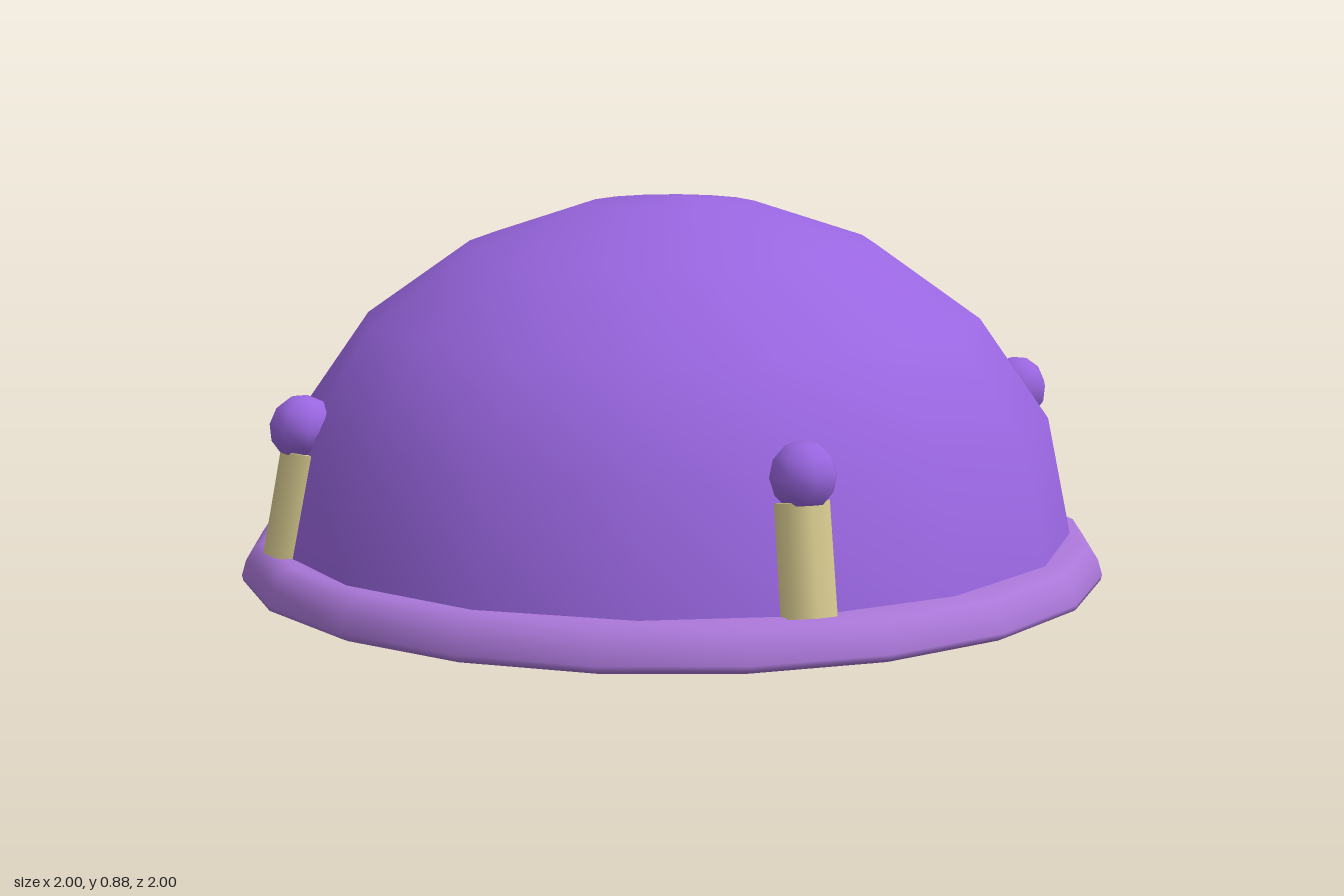
import * as THREE from 'three';

const material = (name, color) => {
  const m = new THREE.MeshStandardMaterial({ color });
  m.name = name;
  return m;
};

const lathe = (points, sides) =>
  new THREE.LatheGeometry(points.map(([r, y]) => new THREE.Vector2(r, y)), sides);

export function createModel() {
  const purple = material('dome purple', 0x9966e0);
  const lilac = material('rim lilac', 0xaa77d8);
  const tan = material('post tan', 0xd8cb90);
  const grey = material('underside grey', 0x786b8a);

  const model = new THREE.Group();
  model.name = 'studdedDome';
  const add = (parent, name, geometry, mat) => {
    const mesh = new THREE.Mesh(geometry, mat);
    mesh.name = name;
    parent.add(mesh);
    return mesh;
  };

  // Faceted-outline dome with smooth shading
  add(model, 'dome', lathe([
    [0.93, 0.08], [0.925, 0.1], [0.87, 0.37], [0.71, 0.6],
    [0.47, 0.77], [0.2, 0.86], [0, 0.878],
  ], 16), purple);

  // Rounded rim, closing inward under the dome wall
  add(model, 'rim', lathe([
    [0.98, 0], [0.997, 0.008], [1, 0.02], [0.99, 0.055],
    [0.97, 0.085], [0.94, 0.1], [0.86, 0.1],
  ], 20), lilac);

  // Flat underside
  const base = add(model, 'underside', new THREE.CircleGeometry(0.98, 20), grey);
  base.rotation.x = Math.PI / 2;

  // Four leaning posts with ball tips, on the diagonals
  const postGeometry = new THREE.CylinderGeometry(0.066, 0.07, 0.24, 8);
  const ballGeometry = new THREE.SphereGeometry(0.075, 8, 6);
  for (let i = 0; i < 4; i++) {
    const stud = new THREE.Group();
    stud.name = 'stud' + (i + 1);
    stud.rotation.y = Math.PI / 4 + i * Math.PI / 2;
    const post = add(stud, 'post', postGeometry, tan);
    post.position.set(0, 0.21, 0.877);
    post.rotation.x = -0.17;
    const ball = add(stud, 'ballTip', ballGeometry, purple);
    ball.position.set(0, 0.385, 0.872);
    ball.rotation.x = -0.17;
    model.add(stud);
  }
  return model;
}
